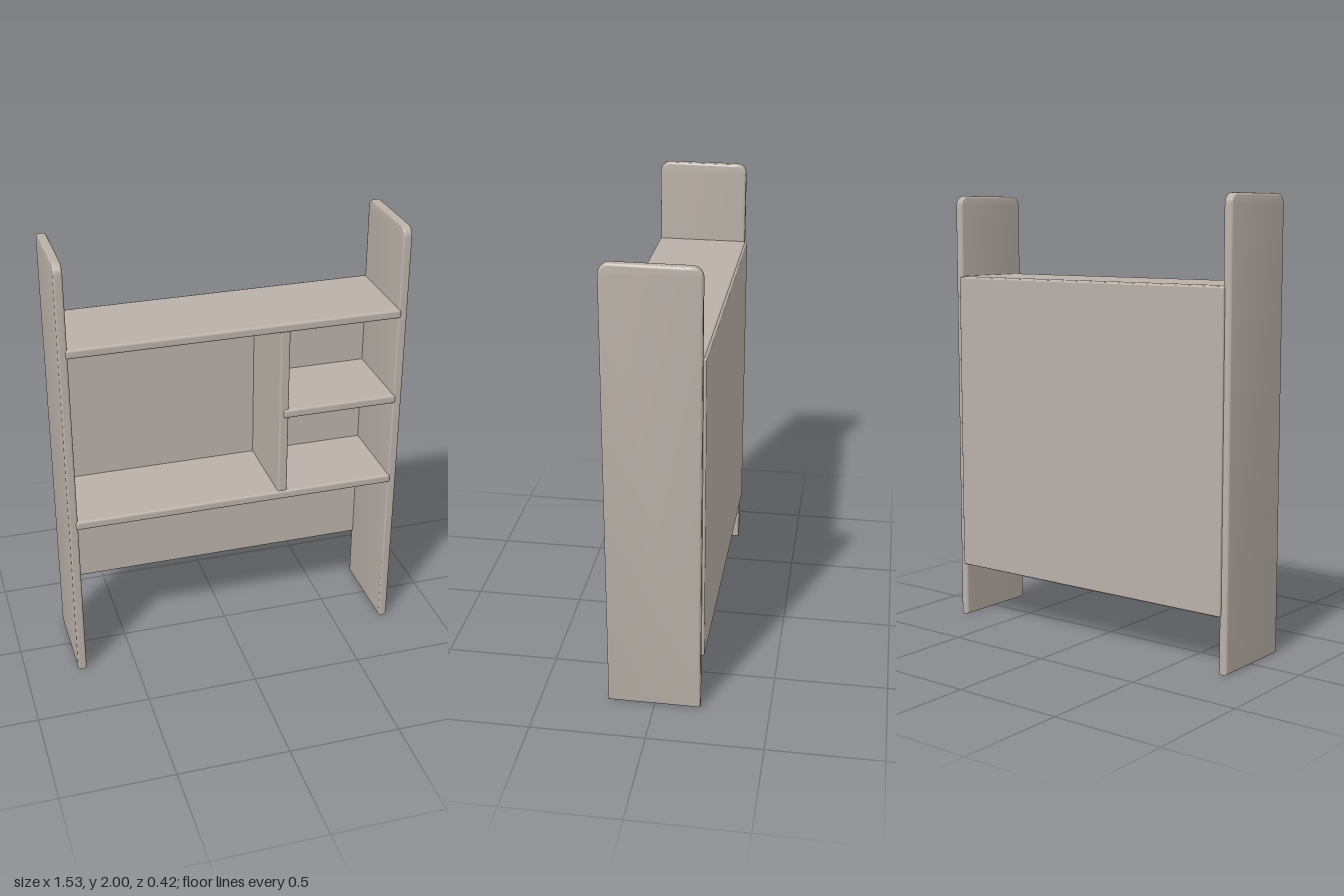
import * as THREE from 'three';
import { toCreasedNormals } from 'three/addons/utils/BufferGeometryUtils.js';
import { RoundedBoxGeometry } from 'three/addons/geometries/RoundedBoxGeometry.js';

export function createModel() {
  const group = new THREE.Group();
  const paint = new THREE.MeshStandardMaterial({ color: 0xb9b0a8 });
  paint.name = 'warmGrey';

  function add(name, geometry) {
    const mesh = new THREE.Mesh(geometry, paint);
    mesh.name = name;
    group.add(mesh);
    return mesh;
  }

  // Softly rounded board given by its extents
  function board(name, x0, x1, y0, y1, z0, z1, radius) {
    const geometry = new RoundedBoxGeometry(x1 - x0, y1 - y0, z1 - z0, 3, radius);
    add(name, geometry).position.set((x0 + x1) / 2, (y0 + y1) / 2, (z0 + z1) / 2);
  }

  // Upright side panel: rounded top corners, softened edges
  const bevel = 0.01, z0 = -0.2 + bevel, z1 = 0.205 - bevel, y0 = bevel, y1 = 2 - bevel, r = 0.035;
  const profile = new THREE.Shape();
  profile.moveTo(z0, y0);
  profile.lineTo(z1, y0);
  profile.lineTo(z1, y1 - r);
  profile.absarc(z1 - r, y1 - r, r, 0, Math.PI / 2);
  profile.lineTo(z0 + r, y1);
  profile.absarc(z0 + r, y1 - r, r, Math.PI / 2, Math.PI);
  profile.closePath();
  const sideGeometry = toCreasedNormals(new THREE.ExtrudeGeometry(profile, {
    depth: 0.02, bevelEnabled: true, bevelThickness: bevel, bevelSize: bevel,
    bevelSegments: 3, curveSegments: 6,
  }).translate(0, 0, -0.01).rotateY(-Math.PI / 2), 0.7);
  for (const [name, x] of [['leftSide', 0.744], ['rightSide', -0.744]]) {
    add(name, sideGeometry).position.x = x;
  }

  // Back panel
  board('backPanel', -0.735, 0.735, 0.25, 1.625, -0.212, -0.18, 0.008);

  // Shelves, slightly proud of the side panels at the front
  board('topShelf', -0.735, 0.735, 1.587, 1.629, -0.205, 0.21, 0.012);
  board('lowerShelf', -0.735, 0.735, 0.76, 0.802, -0.19, 0.21, 0.012);
  board('smallShelf', 0.21, 0.735, 1.172, 1.214, -0.19, 0.21, 0.012);

  // Upright divider between the large and small compartments
  board('divider', 0.191, 0.235, 0.78, 1.61, -0.19, 0.202, 0.01);

  return group;
}
